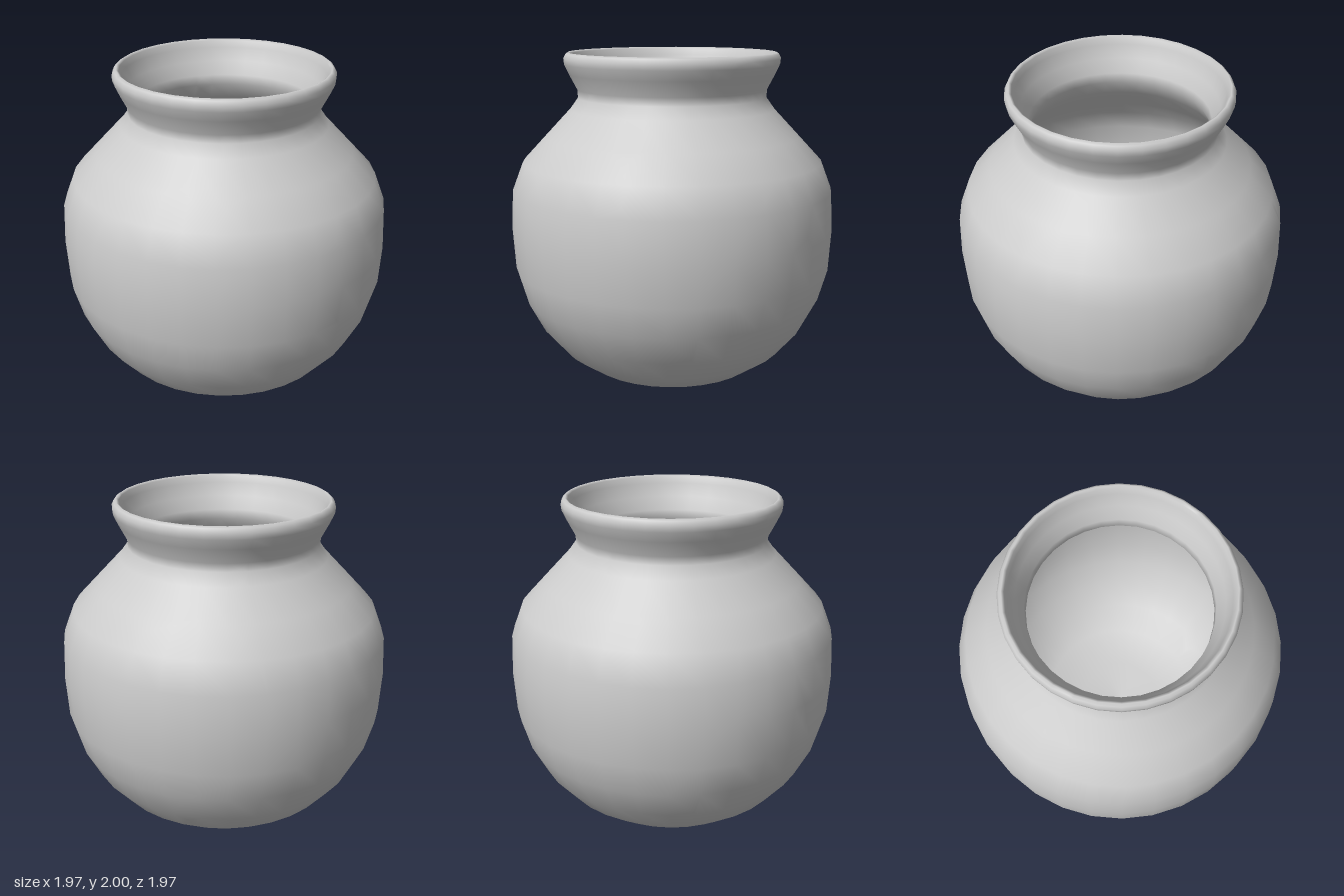
import * as THREE from 'three';

// Closed wall profile [radius, height]: up the outside, over the lip, down the inside
const PROFILE = [
  [0, 0.005], [0.26, 0.035], [0.53, 0.07], [0.69, 0.18], [0.82, 0.33], [0.915, 0.51], [0.97, 0.7],
  [0.985, 0.94], [0.975, 1.18], [0.91, 1.35], [0.77, 1.5], [0.62, 1.66], [0.57, 1.73], [0.573, 1.78],
  [0.62, 1.87], [0.648, 1.93], [0.652, 1.965], [0.64, 1.99], [0.625, 2], [0.61, 1.99], [0.6, 1.95],
  [0.57, 1.87], [0.525, 1.79], [0.52, 1.73], [0.575, 1.63], [0.73, 1.46], [0.86, 1.32], [0.925, 1.17],
  [0.935, 0.94], [0.92, 0.71], [0.87, 0.53], [0.78, 0.37], [0.66, 0.23], [0.51, 0.13], [0.26, 0.09], [0, 0.065],
];

// Centres of the broken shards; the seams run midway between neighbours
const SEEDS = [
  [-0.1, 1.15, 0.95], [0.55, 1.12, 0.78], [0.92, 1.15, 0.3], [0.9, 0.75, -0.2],
  [0.6, 1.2, -0.75], [-0.15, 1.05, -0.95], [-0.75, 1.3, -0.4], [-0.75, 1.35, 0.45],
  [-0.85, 0.55, 0.3], [-0.2, 0.3, 0.7], [0.5, 0.3, 0.65], [0.4, 0.3, -0.65],
  [-0.5, 0.3, -0.6], [0.45, 1.9, 0.4], [-0.2, 1.92, 0.6], [0.2, 1.9, -0.6], [-0.6, 1.9, -0.1],
].map((s) => new THREE.Vector3(...s));

// Keep the part of a polygon on the inner side of a plane
function clip(poly, plane) {
  const out = [];
  poly.forEach((a, i) => {
    const b = poly[(i + 1) % poly.length];
    const da = plane.distanceToPoint(a.p), db = plane.distanceToPoint(b.p);
    if (da <= 0) out.push(a);
    if (da * db < 0) {
      const t = da / (da - db);
      out.push({ p: a.p.clone().lerp(b.p, t), n: a.n.clone().lerp(b.n, t).normalize() });
    }
  });
  return out;
}

// The piece of the pot wall lying nearest to one seed
function shardGeometry(triangles, seed) {
  const planes = SEEDS.filter((s) => s !== seed).map((s) =>
    new THREE.Plane().setFromNormalAndCoplanarPoint(
      s.clone().sub(seed).normalize(), s.clone().add(seed).multiplyScalar(0.5)));
  const pos = [], nor = [];
  for (const tri of triangles) {
    let poly = tri;
    for (const plane of planes) {
      poly = clip(poly, plane);
      if (poly.length < 3) break;
    }
    for (let i = 1; i + 1 < poly.length; i++) {
      for (const v of [poly[0], poly[i], poly[i + 1]]) {
        pos.push(v.p.x, v.p.y, v.p.z);
        nor.push(v.n.x, v.n.y, v.n.z);
      }
    }
  }
  const g = new THREE.BufferGeometry();
  g.setAttribute('position', new THREE.Float32BufferAttribute(pos, 3));
  g.setAttribute('normal', new THREE.Float32BufferAttribute(nor, 3));
  return g;
}

export function createModel() {
  const pot = new THREE.Group();
  pot.name = 'crackedPot';
  const material = new THREE.MeshStandardMaterial({ color: 0xcccccc, side: THREE.DoubleSide });

  // Whole turned wall, as a list of triangles
  const lathe = new THREE.LatheGeometry(PROFILE.map(([r, y]) => new THREE.Vector2(r, y)), 32).toNonIndexed();
  const { position, normal } = lathe.attributes;
  const triangles = [];
  for (let i = 0; i < position.count; i += 3) {
    triangles.push([0, 1, 2].map((k) => ({
      p: new THREE.Vector3().fromBufferAttribute(position, i + k),
      n: new THREE.Vector3().fromBufferAttribute(normal, i + k),
    })));
  }

  // Shards fitted back together
  SEEDS.forEach((seed, i) => {
    const shard = new THREE.Mesh(shardGeometry(triangles, seed), material);
    shard.name = (seed.y > 1.8 ? 'rimShard' : seed.y > 0.6 ? 'bodyShard' : 'baseShard') + (i + 1);
    pot.add(shard);
  });
  return pot;
}
